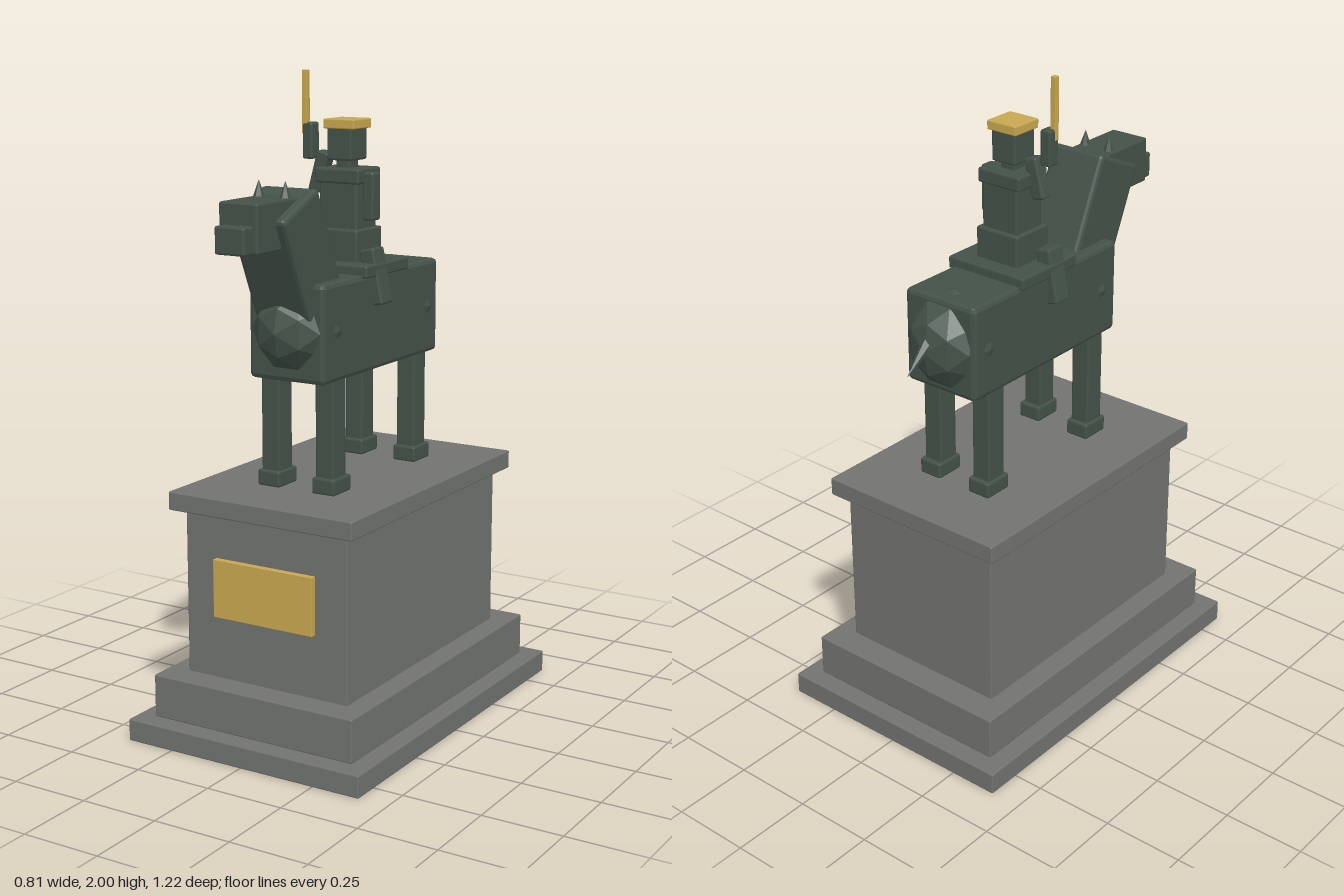
import * as THREE from 'three';
import { RoundedBoxGeometry } from 'three/addons/geometries/RoundedBoxGeometry.js';

function material(name, color) {
  const m = new THREE.MeshStandardMaterial({ color });
  m.name = name;
  return m;
}

export function createModel() {
  const stone = material('stone', 0x727470);
  const bronze = material('bronze', 0x445249);
  bronze.flatShading = true;
  const gold = material('gold', 0xc9a850);

  const root = new THREE.Group();
  root.name = 'equestrianStatue';
  const section = (name) => {
    const g = new THREE.Group();
    g.name = name;
    root.add(g);
    return g;
  };
  const add = (parent, name, geo, mat, x, y, z) => {
    const mesh = new THREE.Mesh(geo, mat);
    mesh.name = name;
    mesh.position.set(x, y, z);
    parent.add(mesh);
    return mesh;
  };
  // Box with slightly softened edges, given by centre and size
  const block = (parent, name, mat, [x, y, z], [w, h, d], r = 0.006) =>
    add(parent, name, new RoundedBoxGeometry(w, h, d, 1, r), mat, x, y, z);
  // Box centred on x, given by its vertical and depth limits
  const slab = (parent, name, mat, w, y0, y1, z0, z1, r) =>
    block(parent, name, mat, [0, (y0 + y1) / 2, (z0 + z1) / 2], [w, y1 - y0, z1 - z0], r);

  // Stepped pedestal with plaque
  const pedestal = section('pedestal');
  slab(pedestal, 'baseStep', stone, 0.814, 0, 0.07, -0.612, 0.59, 0.005);
  slab(pedestal, 'upperStep', stone, 0.70, 0.07, 0.205, -0.554, 0.532, 0.005);
  slab(pedestal, 'shaft', stone, 0.564, 0.2, 0.72, -0.466, 0.447, 0.005);
  slab(pedestal, 'cap', stone, 0.64, 0.715, 0.773, -0.504, 0.484, 0.005);
  slab(pedestal, 'plaque', gold, 0.348, 0.40, 0.58, 0.44, 0.465, 0.002);

  // Horse body with faceted chest and rump
  const horse = section('horse');
  slab(horse, 'barrel', bronze, 0.262, 1.112, 1.408, -0.351, 0.325, 0.014);
  add(horse, 'chest', new THREE.IcosahedronGeometry(0.138, 1), bronze, 0, 1.263, 0.254);
  const rump = add(horse, 'rump', new THREE.IcosahedronGeometry(0.138, 1), bronze, 0, 1.263, -0.286);
  rump.scale.y = 1.12;

  // Neck, head, muzzle
  const neck = block(horse, 'neck', bronze, [0, 1.464, 0.307], [0.19, 0.39, 0.2], 0.012);
  neck.rotation.x = 0.42;
  slab(horse, 'head', bronze, 0.13, 1.517, 1.66, 0.317, 0.564);
  slab(horse, 'muzzle', bronze, 0.1, 1.517, 1.597, 0.5, 0.608);

  // Tail
  const tail = add(horse, 'tail', new THREE.ConeGeometry(0.034, 0.2, 6), bronze, 0, 1.275, -0.416);
  tail.rotation.x = -Math.PI / 2 - 0.69;

  // Ears, legs and hooves
  for (const s of [-1, 1]) {
    add(horse, 'ear', new THREE.ConeGeometry(0.023, 0.065, 6), bronze, s * 0.045, 1.675, 0.392);
    for (const z of [0.233, -0.249]) {
      block(horse, 'leg', bronze, [s * 0.095, 0.96, z], [0.064, 0.36, 0.072]);
      block(horse, 'hoof', bronze, [s * 0.096, 0.797, z - 0.002], [0.078, 0.05, 0.098]);
    }
  }

  // Saddle
  slab(horse, 'saddle', bronze, 0.286, 1.398, 1.437, -0.145, 0.107);

  // Rider trunk, head and hat
  const rider = section('rider');
  slab(rider, 'hips', bronze, 0.154, 1.43, 1.533, -0.093, 0.054);
  slab(rider, 'torso', bronze, 0.13, 1.52, 1.69, -0.079, 0.038);
  slab(rider, 'shoulders', bronze, 0.154, 1.668, 1.713, -0.085, 0.047);
  slab(rider, 'riderNeck', bronze, 0.05, 1.70, 1.745, -0.042, 0.01);
  slab(rider, 'riderHead', bronze, 0.086, 1.735, 1.835, -0.062, 0.032);
  slab(rider, 'hat', gold, 0.107, 1.829, 1.858, -0.07, 0.036, 0.004);

  // Rider legs, splayed over the saddle
  for (const s of [-1, 1]) {
    const leg = block(rider, 'riderLeg', bronze, [s * 0.123, 1.395, 0.019], [0.05, 0.17, 0.066]);
    leg.rotation.z = s * 0.2;
  }

  // Lowered left arm, raised right arm holding a sword
  block(rider, 'leftArm', bronze, [0.087, 1.63, -0.013], [0.038, 0.144, 0.046]);
  const upperArm = block(rider, 'rightUpperArm', bronze, [-0.086, 1.697, -0.008], [0.042, 0.125, 0.044]);
  upperArm.rotation.z = -0.27;
  block(rider, 'rightForearm', bronze, [-0.112, 1.79, 0.011], [0.036, 0.11, 0.042]);
  block(rider, 'sword', gold, [-0.122, 1.905, 0.022], [0.018, 0.19, 0.018], 0.002);

  return root;
}
